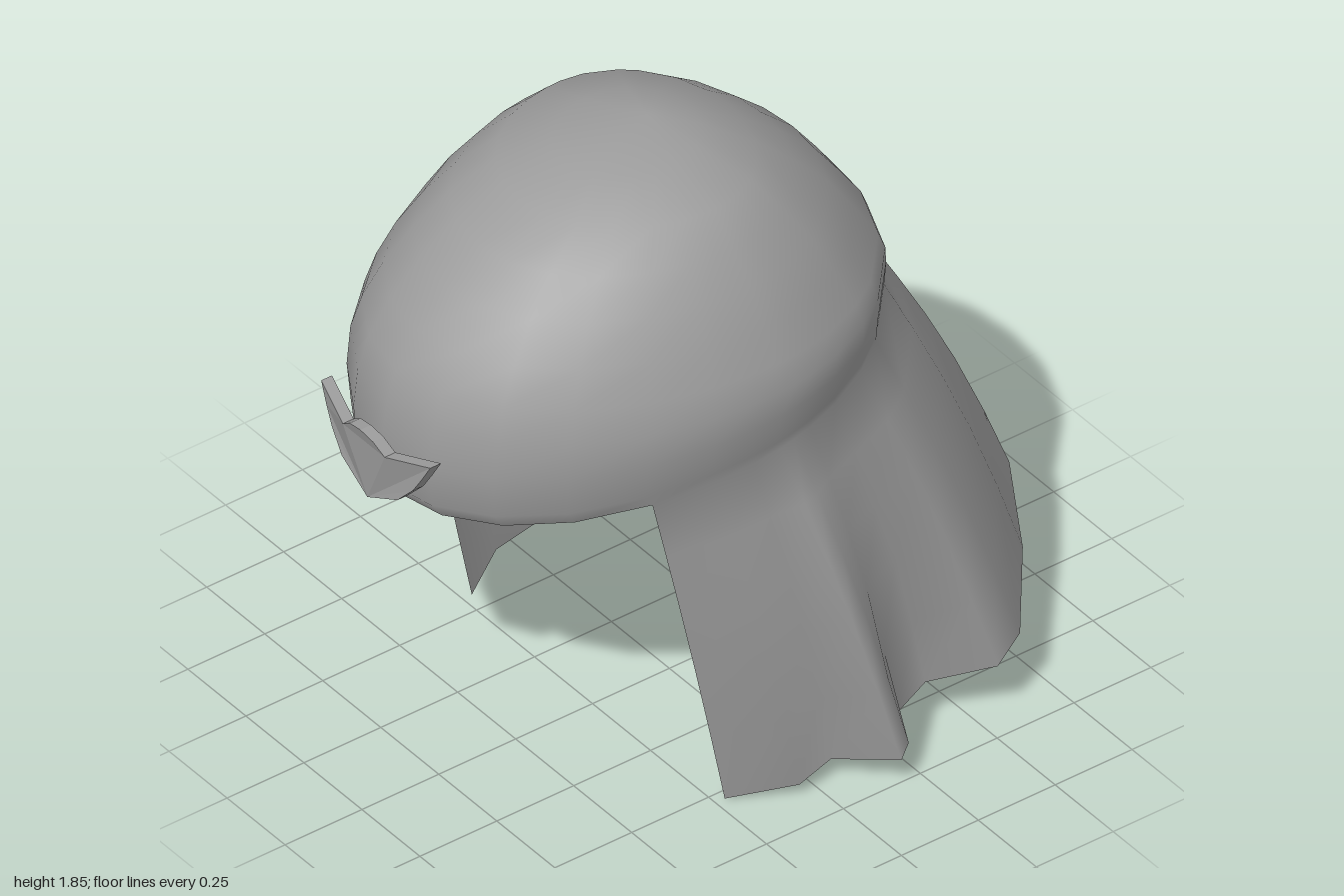
import * as THREE from 'three';

const rad = THREE.MathUtils.degToRad;

// Cap cross-sections, top to bottom: height, half width, back z, front z
const CAP = [
  [1.855, 0, 0.07, 0.07], [1.83, 0.18, -0.06, 0.35], [1.77, 0.34, -0.19, 0.49],
  [1.69, 0.42, -0.3, 0.63], [1.6, 0.485, -0.4, 0.735], [1.5, 0.54, -0.475, 0.825],
  [1.4, 0.58, -0.545, 0.89], [1.3, 0.608, -0.56, 0.92], [1.18, 0.605, -0.565, 0.935],
  [1.05, 0.592, -0.565, 0.925], [1.0, 0.58, -0.565, 0.89],
];

// Veil columns: angle around the head (front = 0), then the hem's x and z
const HEM = [
  [63, 0.53, 0.22], [76, 0.64, 0.06], [84, 0.63, -0.05], [90, 0.775, -0.17],
  [94, 0.74, -0.22], [99, 0.63, -0.27], [108, 0.6, -0.38], [120, 0.7, -0.54],
  [130, 0.65, -0.65], [150, 0.41, -0.84], [168, 0.14, -1.0], [180, -0.02, -0.97],
  [193, -0.22, -0.985], [210, -0.43, -0.84], [228, -0.65, -0.62], [238, -0.74, -0.5],
  [255, -0.72, -0.28], [268, -0.78, -0.13], [275, -0.635, -0.06], [284, -0.64, 0.08],
  [297, -0.56, 0.22],
];

// Egg-shaped ring point; the lower rows follow the sloping rim
function capPoint([y, w, back, front], deg) {
  const c = Math.cos(rad(deg)), s = Math.sin(rad(deg));
  const mid = back + 0.44 * (front - back);
  const rim = 1.0 + 0.12 * (1 - c);
  const py = y < 1.4 ? rim + ((y - 1) / 0.4) * (1.4 - rim) : y;
  return new THREE.Vector3(w * s, py, mid + c * (c > 0 ? front - mid : mid - back));
}

// Surface through rows of points, listed top to bottom
function gridGeometry(rows, closed) {
  const n = rows[0].length, index = [];
  for (let r = 0; r < rows.length - 1; r++) {
    for (let c = 0; c < (closed ? n : n - 1); c++) {
      const d = (c + 1) % n;
      const a = r * n + c, b = r * n + d, e = a + n, f = b + n;
      index.push(a, e, b, b, e, f);
    }
  }
  const g = new THREE.BufferGeometry().setFromPoints(rows.flat());
  g.setIndex(index);
  g.computeVertexNormals();
  return g;
}

export function createModel() {
  const group = new THREE.Group();
  const grey = new THREE.MeshStandardMaterial({ color: 0x9c9c9c, side: THREE.DoubleSide });
  grey.name = 'grey cloth';
  const add = (name, geometry) => {
    const mesh = new THREE.Mesh(geometry, grey);
    mesh.name = name;
    group.add(mesh);
  };

  // Cap: shares the veil's columns, plus seven across the brow
  const angles = HEM.map((h) => h[0]);
  for (let i = 1; i < 8; i++) angles.push(297 + i * 15.75);
  const cap = gridGeometry(CAP.map((row) => angles.map((a) => capPoint(row, a))), true);
  for (let i = 0; i < angles.length; i++) cap.attributes.normal.setXYZ(i, 0, 1, 0);

  // Veil: hangs from the cap's rim, bulging a little on the way to the hem
  const veilRows = [0, 0.17, 0.35, 0.55, 0.78, 1].map((t) => HEM.map(([deg, x, z]) => {
    const top = capPoint(CAP[CAP.length - 1], deg);
    const p = top.lerp(new THREE.Vector3(x, 0.01 + (0.22 - z) * 0.245, z), t);
    const bulge = 0.03 * Math.sin(Math.PI * t);
    const back = Math.max(0, -Math.cos(rad(deg)));
    p.x += bulge * Math.sin(rad(deg)) * Math.min(1, Math.abs(Math.cos(rad(deg))) < 0.4 ? 1 : 0.4);
    p.z -= bulge * back;
    return p;
  }));
  const veil = gridGeometry(veilRows, false);

  // Blend the shading where veil and cap meet
  const cn = cap.attributes.normal, vn = veil.attributes.normal;
  const base = (CAP.length - 1) * angles.length;
  for (let i = 0; i < HEM.length; i++) {
    const m = new THREE.Vector3().fromBufferAttribute(cn, base + i)
      .add(new THREE.Vector3().fromBufferAttribute(vn, i)).normalize();
    cn.setXYZ(base + i, m.x, m.y, m.z);
    vn.setXYZ(i, m.x, m.y, m.z);
  }
  add('cap', cap);
  add('veil', veil);

  // Brow plate: winged shield outline, curved around the forehead
  const outline = [
    [0, 1.01], [0.12, 1.07], [0.175, 1.13], [0.205, 1.18], [0.235, 1.235], [0.09, 1.2],
    [0.05, 1.23], [0, 1.24], [-0.05, 1.23], [-0.09, 1.2], [-0.235, 1.235],
    [-0.205, 1.18], [-0.175, 1.13], [-0.12, 1.07],
  ].map(([x, y]) => new THREE.Vector2(x, y));
  const plate = new THREE.ExtrudeGeometry(new THREE.Shape(outline), { depth: 0.035, bevelEnabled: false });
  const pos = plate.attributes.position;
  for (let i = 0; i < pos.count; i++) {
    const x = pos.getX(i), y = pos.getY(i);
    pos.setX(i, x - 0.015);
    pos.setZ(i, pos.getZ(i) + 0.945 - 0.9 * x * x + 0.1 * (y - 1.1));
  }
  plate.computeVertexNormals();
  add('browPlate', plate);

  return group;
}
